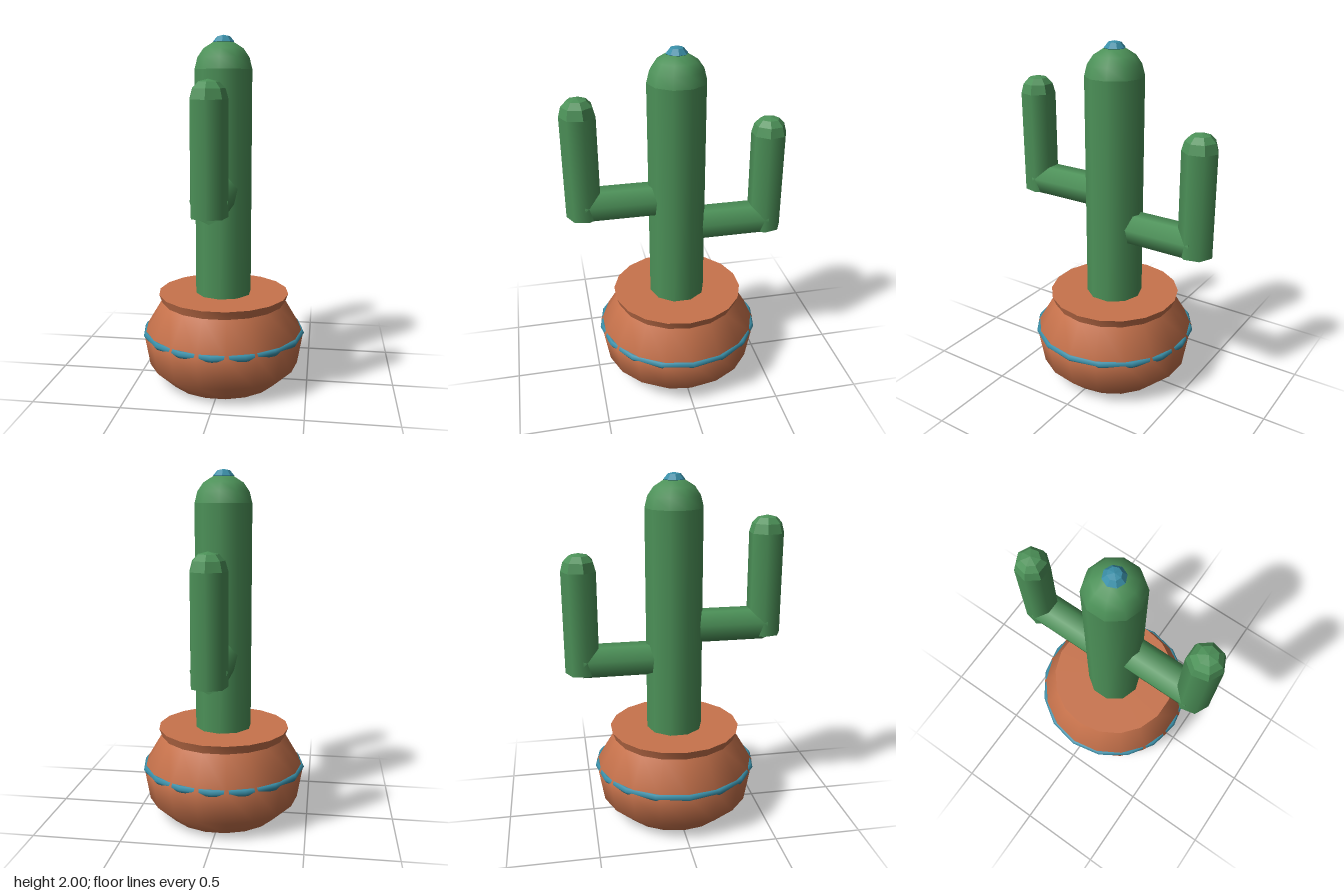
import * as THREE from 'three';
import { toCreasedNormals } from 'three/addons/utils/BufferGeometryUtils.js';

const material = (name, color, side = THREE.FrontSide) => {
  const m = new THREE.MeshStandardMaterial({ color, side });
  m.name = name;
  return m;
};

const mesh = (name, geometry, mat, parent) => {
  const m = new THREE.Mesh(geometry, mat);
  m.name = name;
  parent.add(m);
  return m;
};

// Turned shape from [radius, height] pairs, bottom to top
const turned = (profile, sides, start = 0) =>
  new THREE.LatheGeometry(profile.map(([r, y]) => new THREE.Vector2(r, y)), sides, start);

const faceted = (geometry) => {
  const g = geometry.toNonIndexed();
  g.computeVertexNormals();
  return g;
};

export function createModel() {
  const model = new THREE.Group();
  model.name = 'pottedCactus';
  const green = material('cactusGreen', 0x4c9158);
  const clay = material('terracotta', 0xc8734c, THREE.DoubleSide);
  const teal = material('teal', 0x3a8fa8);

  // Pot: open underneath, closed by the soil disc at the rim
  const potProfile = [[0.323, 0], [0.44, 0.11], [0.472, 0.295], [0.362, 0.48], [0.381, 0.53], [0, 0.53]];
  mesh('pot', toCreasedNormals(turned(potProfile, 18, Math.PI / 2), 0.8), clay, model);

  // Painted band, just breaking through the pot wall
  const band = new THREE.TorusGeometry(0.457, 0.021, 6, 16).rotateX(Math.PI / 2);
  mesh('potBand', band, teal, model).position.y = 0.296;

  // Trunk with rounded top
  mesh('trunk', new THREE.CylinderGeometry(0.163, 0.163, 1.29, 10, 1, true), green, model).position.y = 1.17;
  const dome = [[0.163, 1.815], [0.147, 1.878], [0.113, 1.927], [0.06, 1.96], [0, 1.97]];
  mesh('trunkTop', turned(dome, 10), green, model);

  // Flower bud
  const bud = [[0.03, 1.935], [0.06, 1.963], [0.036, 1.992], [0, 2]];
  mesh('flower', faceted(turned(bud, 8)), teal, model);

  // Arms: a horizontal branch and an upright, heptagonal, reaching along z
  const tip = [[0.1, 0], [0.085, 0.053], [0.054, 0.085], [0, 0.098]];
  const addArm = (name, y, turn) => {
    const arm = new THREE.Group();
    arm.name = name;
    const branch = new THREE.CylinderGeometry(0.1, 0.1, 0.43, 7).rotateX(Math.PI / 2);
    mesh('branch', branch, green, arm).position.set(0, 0, 0.312);
    mesh('upright', new THREE.CylinderGeometry(0.1, 0.1, 0.585, 7), green, arm).position.set(0, 0.2325, 0.527);
    mesh('armTip', faceted(turned(tip, 7)), green, arm).position.set(0, 0.525, 0.527);
    arm.position.y = y;
    arm.rotation.y = turn;
    model.add(arm);
  };
  addArm('frontArm', 1.14, 0);
  addArm('backArm', 0.96, Math.PI);

  return model;
}
